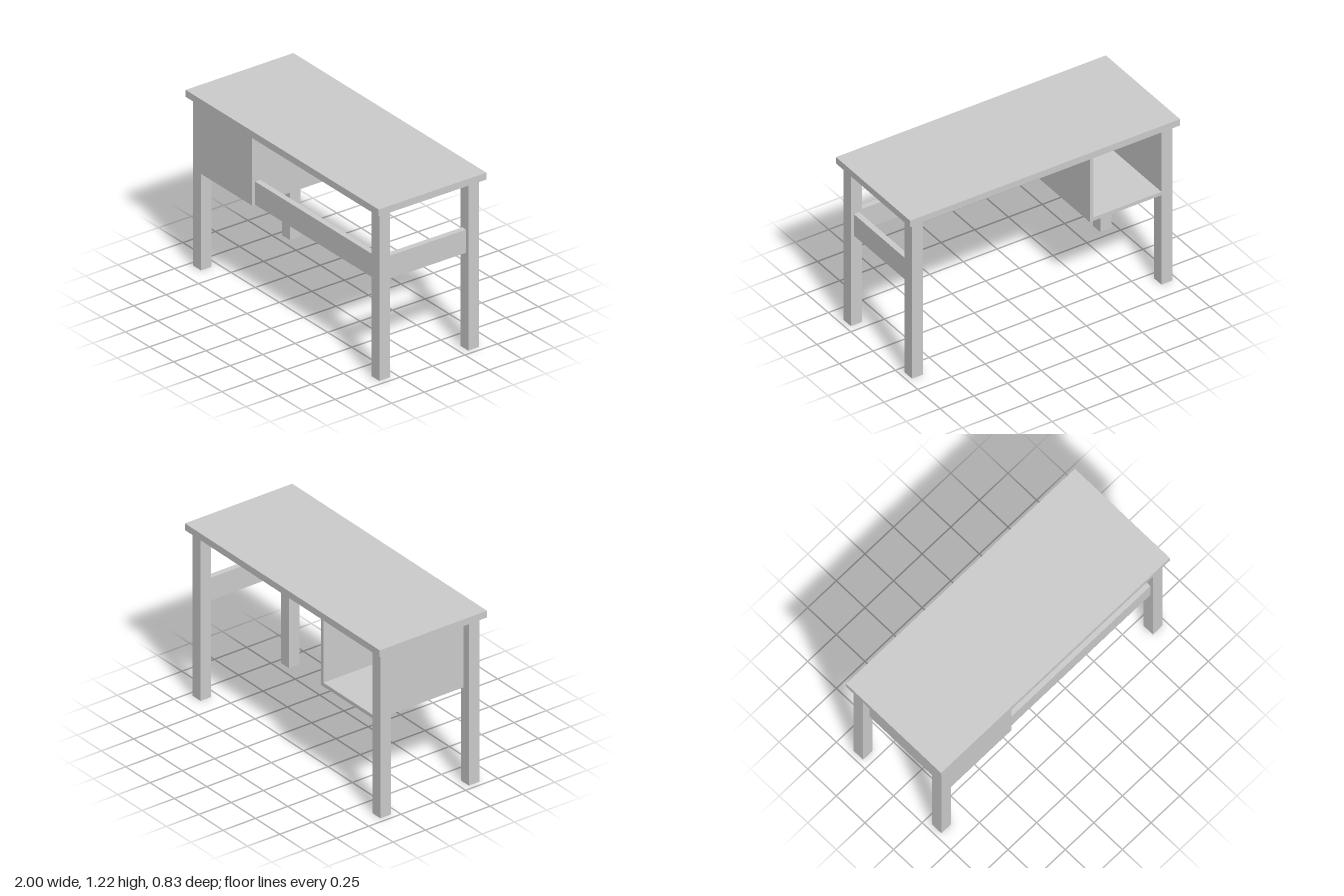
import * as THREE from 'three';

export function createModel() {
  const desk = new THREE.Group();
  desk.name = 'desk';
  const material = new THREE.MeshStandardMaterial({ color: 0xcccccc, flatShading: true });

  // Box given by its extents along each axis
  function board(name, [x0, x1], [y0, y1], [z0, z1], parent = desk) {
    const mesh = new THREE.Mesh(new THREE.BoxGeometry(x1 - x0, y1 - y0, z1 - z0), material);
    mesh.position.set((x0 + x1) / 2, (y0 + y1) / 2, (z0 + z1) / 2);
    mesh.name = name;
    parent.add(mesh);
  }

  const top = 1.218, under = 1.17, low = 0.672, apronTop = 0.833;
  const legOut = 0.965, legIn = 0.883; // leg extents in x
  const zOut = 0.383, zIn = 0.301; // leg extents in z
  const boxRight = -0.353, t = 0.026; // compartment edge and panel thickness

  board('tabletop', [-1, 1], [under, top], [-0.415, 0.415]);

  // Four square legs
  for (const sx of [-1, 1]) {
    for (const sz of [-1, 1]) {
      const x = [sx * legIn, sx * legOut].sort((a, b) => a - b);
      const z = [sz * zIn, sz * zOut].sort((a, b) => a - b);
      board((sz > 0 ? 'front' : 'back') + (sx > 0 ? 'Left' : 'Right') + 'Leg', x, [0, under], z);
    }
  }

  // Rails set back from the leg faces
  board('frontRail', [boxRight, legIn], [low, apronTop], [zOut - 0.062, zOut - 0.022]);
  board('sideRail', [legOut - 0.062, legOut - 0.022], [low, apronTop], [-zIn, zIn]);

  // Storage compartment, open at the back
  const box = new THREE.Group();
  box.name = 'compartment';
  desk.add(box);
  board('compartmentFront', [-legIn, boxRight], [low, under], [zOut - t, zOut], box);
  board('compartmentInnerSide', [boxRight - t, boxRight], [low, under], [-zOut, zOut - t], box);
  board('compartmentOuterSide', [-legIn - t, -legIn], [low, under], [-zIn, zIn], box);
  board('compartmentFloor', [-legIn, boxRight - t], [low, low + t], [-zOut, zOut - t], box);

  return desk;
}
